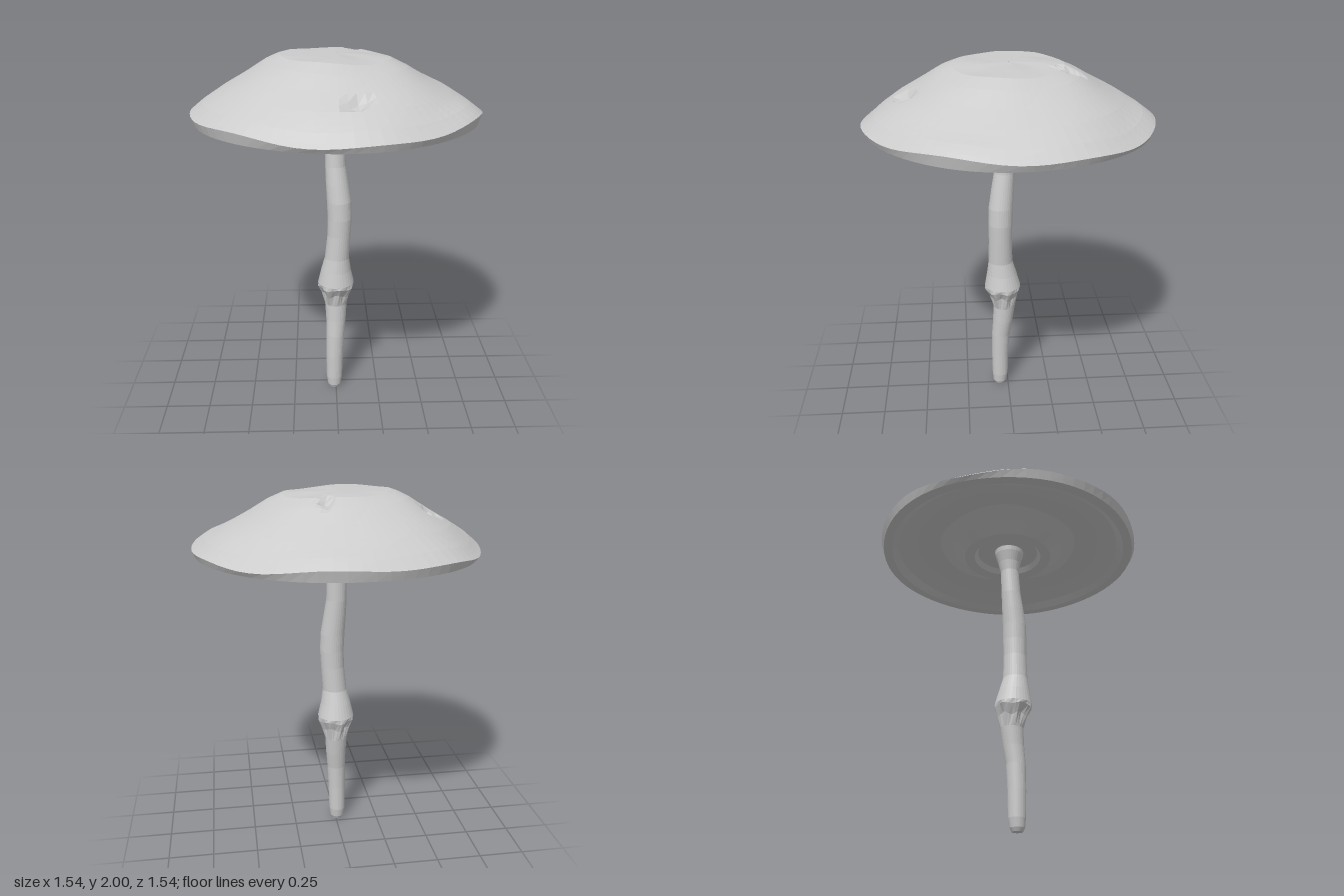
import * as THREE from 'three';

const material = new THREE.MeshStandardMaterial({ color: 0xcccccc, flatShading: true, side: THREE.DoubleSide });

// Skin a stack of rings; point(ring, angle) gives [x, y, z]
function loft(name, ringCount, sides, point) {
  const positions = [], index = [];
  for (let i = 0; i < ringCount; i++)
    for (let j = 0; j < sides; j++) positions.push(...point(i, (j / sides) * Math.PI * 2));
  for (let i = 0; i < ringCount - 1; i++)
    for (let j = 0; j < sides; j++) {
      const k = (j + 1) % sides;
      const a = i * sides + j, b = i * sides + k, c = b + sides, d = a + sides;
      index.push(a, b, c, a, c, d);
    }
  const geometry = new THREE.BufferGeometry();
  geometry.setAttribute('position', new THREE.Float32BufferAttribute(positions, 3));
  geometry.setIndex(index);
  geometry.computeVertexNormals();
  const mesh = new THREE.Mesh(geometry, material);
  mesh.name = name;
  return mesh;
}

// Crooked stem with a flared, pleated skirt: [y, centre x, centre z, radius, pleat]
function makeStem() {
  const rings = [
    [0.00, -0.01, 0.05, 0.001, 0], [0.00, -0.01, 0.05, 0.03, 0],
    [0.02, -0.01, 0.05, 0.04, 0], [0.07, -0.01, 0.048, 0.047, 0],
    [0.22, -0.008, 0.048, 0.05, 0], [0.36, -0.004, 0.044, 0.053, 0],
    [0.46, 0, 0.032, 0.058, 0], [0.56, 0, 0.023, 0.064, 0],
    [0.63, 0, 0.027, 0.078, 0.007], [0.68, 0, 0.032, 0.103, 0.004],
    [0.70, 0, 0.032, 0.104, 0], [0.78, 0, 0.037, 0.086, 0],
    [0.86, 0.005, 0.044, 0.069, 0], [1.00, 0.017, 0.045, 0.066, 0],
    [1.10, 0.021, 0.045, 0.068, 0], [1.20, 0.017, 0.042, 0.068, 0],
    [1.30, 0.007, 0.032, 0.063, 0], [1.40, -0.002, 0.021, 0.057, 0],
    [1.55, -0.003, 0.013, 0.054, 0], [1.61, -0.001, 0.01, 0.065, 0],
    [1.67, 0, 0.01, 0.083, 0], [1.72, 0, 0.01, 0.09, 0],
  ];
  return loft('stem', rings.length, 32, (i, a) => {
    const [y, cx, cz, radius, pleat] = rings[i];
    const r = radius + pleat * Math.sin(8 * a);
    return [cx + r * Math.sin(a), y + 1.5 * pleat * Math.sin(5 * a + 1), cz + r * Math.cos(a)];
  });
}

// Notches in the cap: centre x, z, half length, half width, direction, depth
const notches = [
  [0.09, 0.53, 0.11, 0.07, -0.5, 0.045],
  [-0.46, -0.16, 0.11, 0.05, -0.8, 0.045],
  [0.10, -0.30, 0.10, 0.05, 1.5, 0.04],
];

function notchDepth(x, z) {
  let sum = 0;
  for (const [cx, cz, length, width, turn, depth] of notches) {
    const dx = x - cx, dz = z - cz, c = Math.cos(turn), s = Math.sin(turn);
    const u = Math.abs(dx * c + dz * s) / length, v = Math.abs(dz * c - dx * s) / width;
    sum += depth * Math.max(0, 1 - u - v);
  }
  return sum;
}

// Cap: underside with a raised collar, wavy lip, then the dome
function makeCap() {
  const under = [
    [0.07, 1.70], [0.11, 1.69], [0.18, 1.69], [0.20, 1.662], [0.26, 1.657], [0.33, 1.70],
    [0.41, 1.745], [0.55, 1.73], [0.66, 1.695], [0.70, 1.67], [0.752, 1.672],
  ];
  const over = [
    [0.768, 1.712], [0.70, 1.765], [0.60, 1.828], [0.48, 1.893], [0.38, 1.951], [0.29, 1.99], [0.15, 1.998], [0.001, 2.0],
  ];
  const profile = [...under];
  over.forEach(([r, y], i) => {
    const next = over[i + 1];
    const steps = next ? 3 : 1;
    for (let k = 0; k < steps; k++) {
      const t = k / steps;
      profile.push(next ? [r + (next[0] - r) * t, y + (next[1] - y) * t] : [r, y]);
    }
  });
  return loft('cap', profile.length, 72, (i, a) => {
    let [r, y] = profile[i];
    const top = i >= under.length;
    const edge = THREE.MathUtils.smoothstep(r, 0.58, 0.765);
    // irregular outline and lip
    r *= 1 + 0.006 * edge * Math.sin(5 * a + 1);
    const x = r * Math.sin(a), z = r * Math.cos(a);
    if (top) {
      y += 0.013 * edge * (Math.sin(3 * a + 4.5) + 0.6 * Math.sin(7 * a));
      y -= 0.012 * Math.sin(Math.PI * Math.min(1, r / 0.76)) * Math.sin(a);
      y += 0.005 * Math.sin(Math.PI * Math.min(1, r / 0.76)) * Math.sin(4 * a + 9 * r);
      y = Math.min(2, y) - notchDepth(x, z);
    } else if (r > 0.3 && r < 0.69) {
      y += 0.008 * Math.sin(4 * a + 6 * r);
    }
    return [x, y, z];
  });
}

export function createModel() {
  const group = new THREE.Group();
  group.name = 'mushroom';
  group.add(makeStem(), makeCap());
  return group;
}
